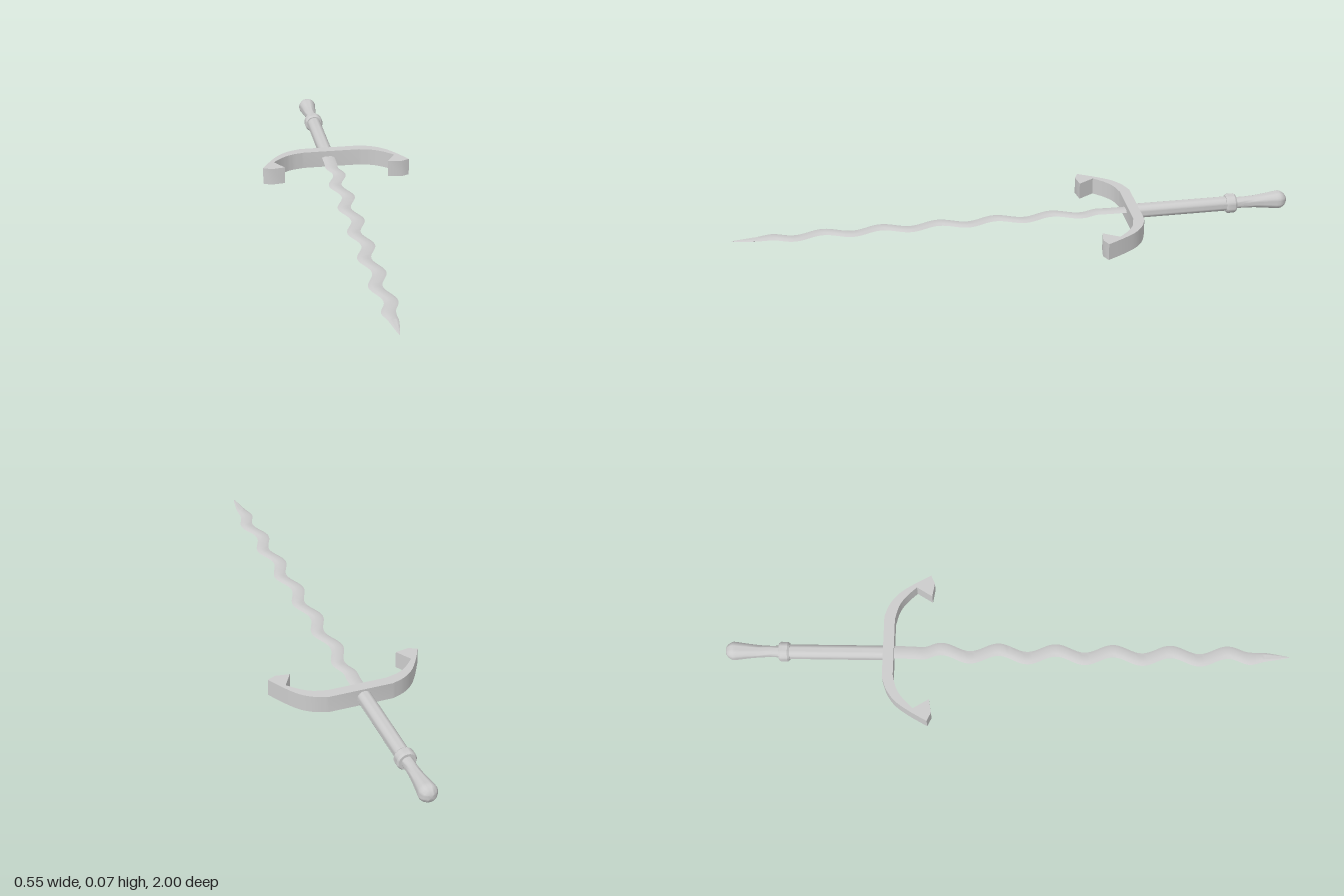
import * as THREE from 'three';
import { toCreasedNormals } from 'three/addons/utils/BufferGeometryUtils.js';

const AXIS_X = -0.012;

export function createModel() {
  const group = new THREE.Group();
  const material = new THREE.MeshStandardMaterial({ color: 0xcccccc });

  function add(name, geometry, x = 0, y = 0) {
    const mesh = new THREE.Mesh(toCreasedNormals(geometry, 0.6), material);
    mesh.name = name;
    mesh.position.set(x, y, 0);
    group.add(mesh);
  }

  // Turned parts: [radius, distance towards the back] pairs
  function turned(name, profile) {
    const points = profile.map(([r, d]) => new THREE.Vector2(r, d));
    add(name, new THREE.LatheGeometry(points, 24).rotateX(-Math.PI / 2), AXIS_X, 0.035);
  }
  turned('grip', [[0, 0.405], [0.026, 0.405], [0.026, 0.78], [0, 0.78]]);
  turned('collar', [[0, 0.772], [0.03, 0.772], [0.035, 0.779], [0.035, 0.803], [0.03, 0.81], [0, 0.81]]);
  turned('pommel', [[0.021, 0.8], [0.02, 0.84], [0.022, 0.88], [0.027, 0.925], [0.032, 0.96],
    [0.033, 0.972], [0.03, 0.981], [0.023, 0.991], [0.013, 0.998], [0, 1]]);

  // Crossguard: half outline in x and z, mirrored, curving forward to barbed ends
  const curve = (pts) => new THREE.CatmullRomCurve3(
    pts.map(([x, z]) => new THREE.Vector3(x, z, 0))).getPoints(16).map((p) => [p.x, p.y]);
  const half = [
    ...curve([[0.115, -0.44], [0.16, -0.423], [0.2, -0.393], [0.235, -0.345], [0.273, -0.278]]),
    [0.243, -0.264], [0.193, -0.272],
    ...curve([[0.227, -0.328], [0.19, -0.365], [0.155, -0.388], [0.105, -0.402]]),
  ];
  const outline = [...half, ...half.map(([x, z]) => [-x, z]).reverse()];
  const shape = new THREE.Shape(outline.map(([x, z]) => new THREE.Vector2(x, z)));
  const guard = new THREE.ExtrudeGeometry(shape, { depth: 0.062, bevelEnabled: false });
  add('crossguard', guard.rotateX(Math.PI / 2), 0, 0.068);

  // Wavy blade: thin six-sided sections swept forward and narrowed to the tip
  const section = [[1, 0], [0.5, 0.0045], [-0.5, 0.0045], [-1, 0], [-0.5, -0.0045], [0.5, -0.0045]];
  const steps = 140, start = -0.42, end = 1;
  const positions = [], indices = [];
  for (let i = 0; i <= steps; i++) {
    const z = start + (end - start) * i / steps;
    const taper = Math.min(1, Math.pow(Math.max(0, (end - z) / 0.14), 0.8));
    const fade = THREE.MathUtils.smoothstep(z, -0.34, -0.25)
      * (1 - THREE.MathUtils.smoothstep(z, 0.8, 0.93));
    const wave = 0.015 * fade * Math.cos((z + 0.235) / 0.203 * Math.PI * 2);
    for (const [sx, sy] of section) {
      positions.push(wave + sx * 0.0235 * taper, sy * Math.min(1, taper * 1.5), z);
    }
    if (i === steps) continue;
    for (let j = 0; j < 6; j++) {
      const a = i * 6 + j, b = i * 6 + (j + 1) % 6;
      indices.push(a, b, b + 6, a, b + 6, a + 6);
    }
  }
  for (let j = 1; j < 5; j++) indices.push(0, j + 1, j);
  const blade = new THREE.BufferGeometry();
  blade.setAttribute('position', new THREE.Float32BufferAttribute(positions, 3));
  blade.setIndex(indices);
  add('blade', blade, AXIS_X, 0.0425);

  return group;
}
